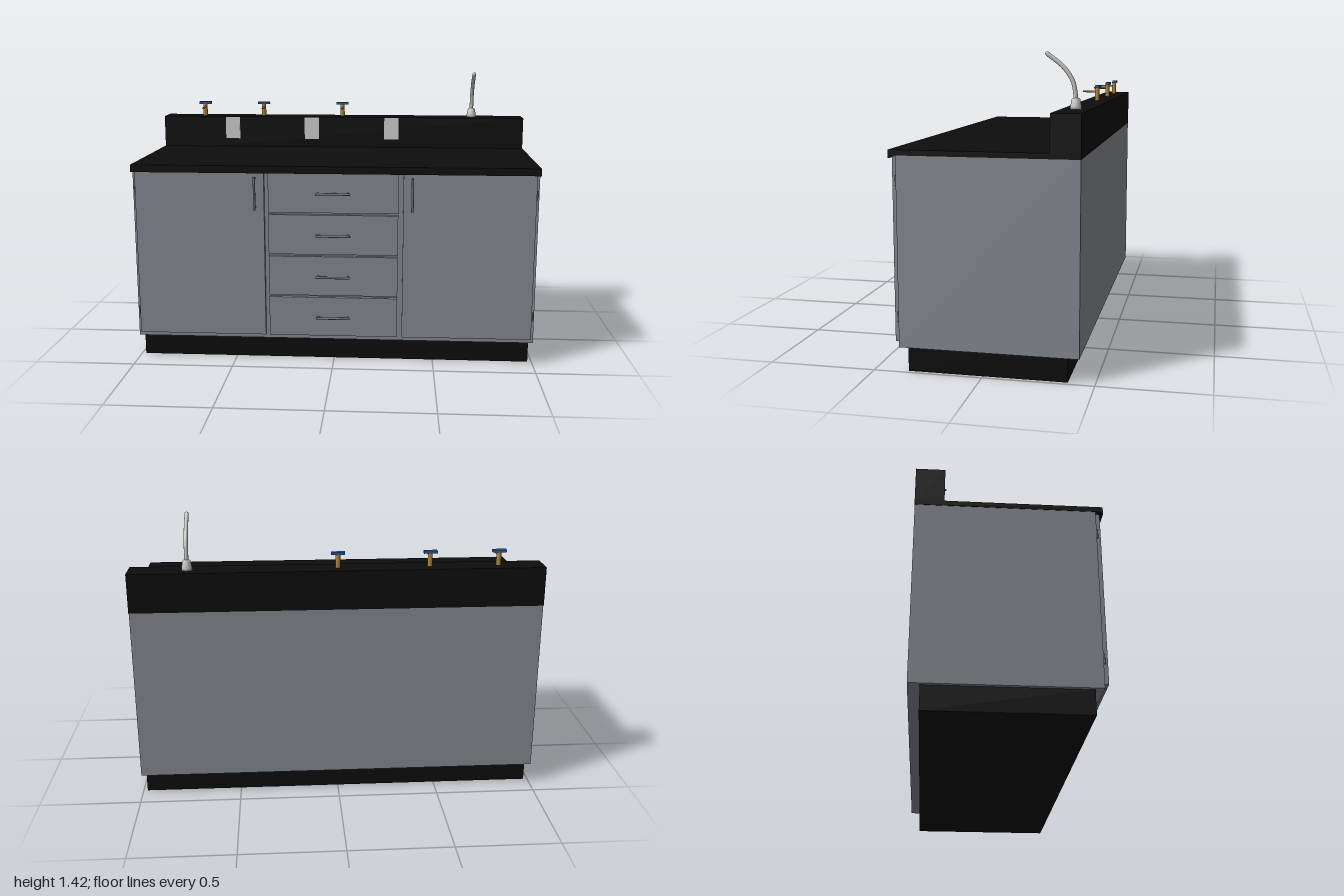
import * as THREE from 'three';

const mat = (name, color, extra = {}) => {
  const m = new THREE.MeshStandardMaterial({ color, ...extra });
  m.name = name;
  return m;
};

export function createModel() {
  const model = new THREE.Group();
  model.name = 'labBench';

  const grey = mat('cabinetGrey', 0x868a92);
  const black = mat('worktopBlack', 0x0d0d0d);
  const steel = mat('handleSteel', 0x6e7175);
  const chrome = mat('tapChrome', 0xc6c6c2);
  const white = mat('socketWhite', 0xd2d2d2);
  const brass = mat('brass', 0xb0842c);
  const blue = mat('valveBlue', 0x2a5ca8);

  const add = (parent, name, geo, material, x = 0, y = 0, z = 0) => {
    const mesh = new THREE.Mesh(geo, material);
    mesh.name = name;
    mesh.position.set(x, y, z);
    parent.add(mesh);
    return mesh;
  };
  // Box given by its limits on each axis
  const box = (parent, name, material, [x0, x1], [y0, y1], [z0, z1]) =>
    add(parent, name, new THREE.BoxGeometry(x1 - x0, y1 - y0, z1 - z0), material,
      (x0 + x1) / 2, (y0 + y1) / 2, (z0 + z1) / 2);
  const group = (name, x, y, z) => {
    const g = new THREE.Group();
    g.name = name;
    g.position.set(x, y, z);
    model.add(g);
    return g;
  };

  // Carcass, plinth and worktop
  box(model, 'plinth', black, [-0.98, 0.98], [0, 0.115], [-0.38, 0.343]);
  box(model, 'carcass', grey, [-0.998, 0.998], [0.113, 0.976], [-0.432, 0.38]);
  box(model, 'worktop', black, [-1, 1], [0.975, 1.0], [-0.433, 0.413]);
  box(model, 'worktopLip', black, [-1, 1], [0.964, 0.976], [0.403, 0.413]);
  box(model, 'backsplash', black, [-1, 1], [0.975, 1.167], [-0.433, -0.3]);

  // Bar handle with two posts, built along x
  const barHandle = (name, x, y, length) => {
    const h = group(name, x, y, 0.4);
    add(h, 'bar', new THREE.CylinderGeometry(0.006, 0.006, length, 12), steel, 0, 0, 0.026)
      .rotation.z = Math.PI / 2;
    for (const s of [-1, 1]) {
      add(h, 'post', new THREE.CylinderGeometry(0.005, 0.005, 0.026, 10), steel,
        s * (length / 2 - 0.01), 0, 0.013).rotation.x = Math.PI / 2;
    }
    return h;
  };

  // Doors with handles and hinges
  for (const s of [-1, 1]) {
    const side = s > 0 ? 'left' : 'right';
    const xs = [s * 0.342, s * 0.984].sort((a, b) => a - b);
    box(model, side + 'Door', grey, xs, [0.136, 0.97], [0.378, 0.4]);
    barHandle(side + 'DoorHandle', s * 0.386, 0.865, 0.164).rotation.z = Math.PI / 2;
    for (const y of [0.25, 0.865]) {
      add(model, side + 'Hinge', new THREE.CylinderGeometry(0.005, 0.005, 0.045, 10), steel,
        s * 0.987, y, 0.384);
    }
  }

  // Four drawers
  for (let i = 0; i < 4; i++) {
    const y = 0.136 + i * 0.2105;
    box(model, 'drawer', grey, [-0.322, 0.318], [y, y + 0.2], [0.378, 0.4]);
    barHandle('drawerHandle', -0.002, 0.235 + i * 0.2105, 0.168);
  }

  // Socket plates on the backsplash
  for (const x of [-0.612, -0.168, 0.276]) {
    box(model, 'socketPlate', white, [x - 0.04, x + 0.04], [1.045, 1.165], [-0.302, -0.296]);
  }

  // Gas taps
  for (const x of [-0.78, -0.445, 0]) {
    const tap = group('gasTap', x, 1.167, -0.367);
    add(tap, 'body', new THREE.CylinderGeometry(0.011, 0.013, 0.065, 16), brass, 0, 0.032, 0);
    add(tap, 'nozzle', new THREE.CylinderGeometry(0.004, 0.006, 0.075, 12), brass, 0, 0.046, 0.038)
      .rotation.x = Math.PI / 2;
    add(tap, 'valveHandle', new THREE.BoxGeometry(0.066, 0.013, 0.024), blue, 0, 0.071, -0.004);
  }

  // Curved water tap
  const faucet = group('waterTap', 0.72, 1.167, -0.366);
  const profile = [[0, 0], [0.026, 0], [0.025, 0.012], [0.019, 0.045], [0.012, 0.05], [0, 0.05]]
    .map(([r, y]) => new THREE.Vector2(r, y));
  add(faucet, 'base', new THREE.LatheGeometry(profile, 24), chrome);
  const path = new THREE.CatmullRomCurve3([
    [0.04, 0], [0.075, 0.003], [0.125, 0.015], [0.185, 0.056], [0.243, 0.129],
  ].map(([y, z]) => new THREE.Vector3(0, y, z)));
  add(faucet, 'spout', new THREE.TubeGeometry(path, 24, 0.01, 12), chrome);
  add(faucet, 'spoutTip', new THREE.SphereGeometry(0.01, 12, 8), chrome, 0, 0.243, 0.129);

  return model;
}
